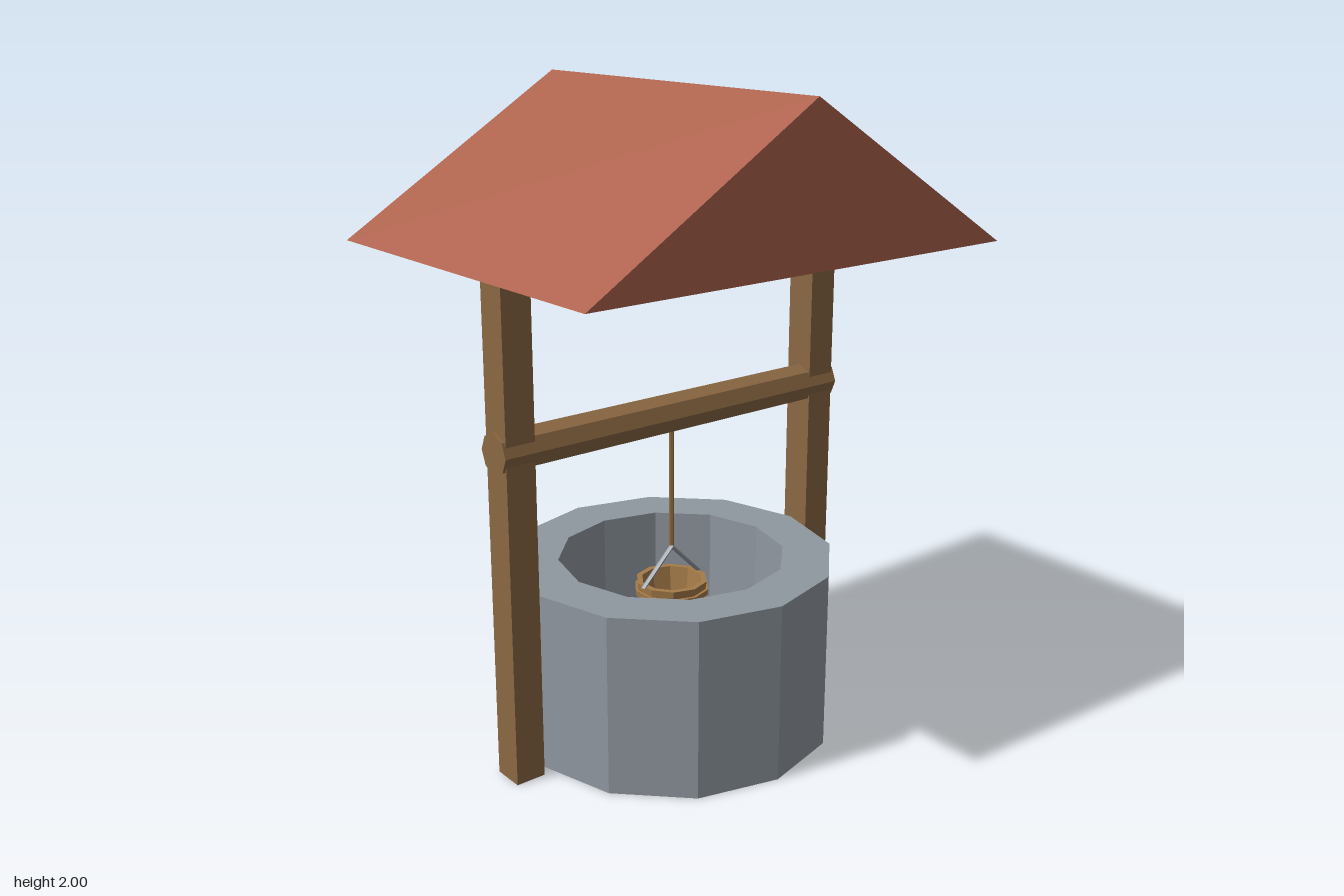
import * as THREE from 'three';

const mat = (name, color) => {
  const m = new THREE.MeshStandardMaterial({ color, flatShading: true });
  m.name = name;
  return m;
};

export function createModel() {
  const stone = mat('stone', 0x9098a0);
  const wood = mat('wood', 0x8b6843);
  const tile = mat('roof tile', 0xad624d);
  const bucketWood = mat('bucket wood', 0xa57b48);
  const ropeFibre = mat('rope fibre', 0x8f6d42);
  const metal = mat('metal', 0x8f969e);

  const well = new THREE.Group();
  well.name = 'well';
  const add = (name, geometry, material, x = 0, y = 0, z = 0) => {
    const mesh = new THREE.Mesh(geometry, material);
    mesh.name = name;
    mesh.position.set(x, y, z);
    well.add(mesh);
    return mesh;
  };
  const lathe = (profile, sides) =>
    new THREE.LatheGeometry(profile.map(([r, y]) => new THREE.Vector2(r, y)), sides);

  // Open twelve-sided stone ring
  const [outer, inner, height] = [0.506, 0.354, 0.562];
  add('stoneRing', lathe([[outer, 0], [outer, height], [inner, height], [inner, 0], [outer, 0]], 12), stone);

  // Two posts carrying the roof
  for (const [name, side] of [['leftPost', 1], ['rightPost', -1]]) {
    add(name, new THREE.BoxGeometry(0.096, 1.547, 0.1), wood, side * 0.575, 0.7735, 0);
  }

  // Eight-sided crossbar passing through the posts
  add('crossbar', new THREE.CylinderGeometry(0.062, 0.062, 1.264, 8), wood, 0, 1.021, 0)
    .rotation.z = Math.PI / 2;

  // Solid gable roof with its ridge along z
  const gable = new THREE.Shape([
    new THREE.Vector2(-0.737, 1.546),
    new THREE.Vector2(0.737, 1.546),
    new THREE.Vector2(0, 2),
  ]);
  add('roof', new THREE.ExtrudeGeometry(gable, { depth: 1.196, bevelEnabled: false }), tile, 0, 0, -0.598);

  // Rope and angular handle
  add('rope', new THREE.CylinderGeometry(0.008, 0.008, 0.4, 6), ropeFibre, 0, 0.79, 0);
  add('bucketHandle', new THREE.TorusGeometry(0.11, 0.009, 5, 2, Math.PI), metal, 0, 0.475, 0);

  // Hollow tapered bucket
  add('bucket', lathe([
    [0, 0.29], [0.088, 0.29], [0.113, 0.478], [0.095, 0.478], [0.074, 0.31], [0, 0.31],
  ], 10), bucketWood);

  // Hoop around the bucket
  add('bucketHoop', lathe([
    [0.106, 0.435], [0.117, 0.435], [0.119, 0.453], [0.108, 0.453], [0.106, 0.435],
  ], 10), bucketWood);

  return well;
}
